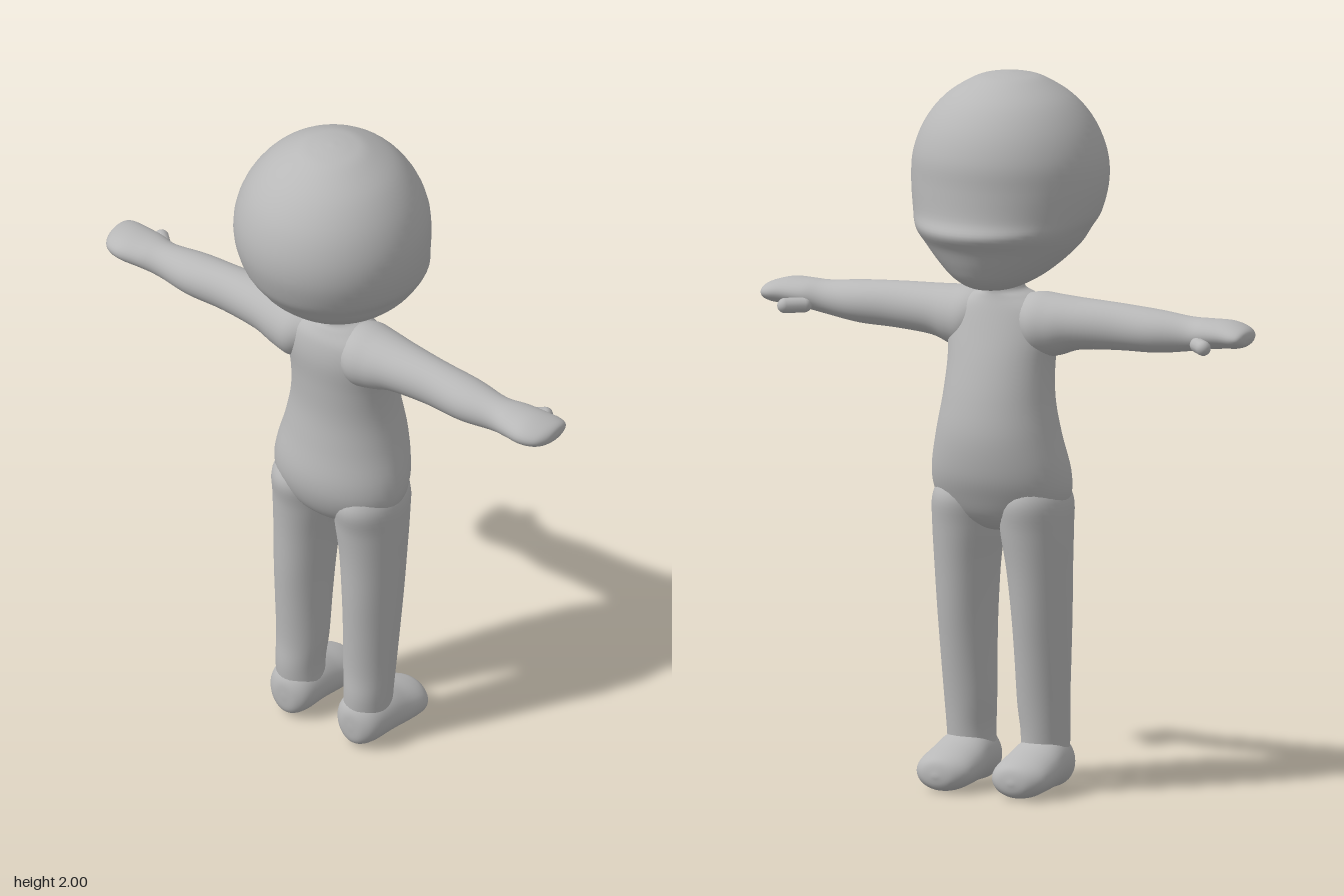
import * as THREE from 'three';
import { mergeVertices } from 'three/addons/utils/BufferGeometryUtils.js';

// Maps (along, u, v) to xyz for a loft running along each axis
const AXES = {
  x: (t, u, v) => [t, v, u],
  y: (t, u, v) => [u, t, v],
  z: (t, u, v) => [v, u, t],
};

// Smooth skin over oval sections; each row is [along, uMin, uMax, vMin, vMax].
// side -1 mirrors the form across z.
function loft(axis, rows, side = 1, segments = 32, steps = 5) {
  const curve = new THREE.CubicInterpolant(rows.map((_, i) => i), rows.flat(), 5, new Float32Array(5));
  const count = (rows.length - 1) * steps;
  const pos = [], index = [];
  for (let i = 0; i <= count; i++) {
    const [t, u0, u1, v0, v1] = i === count ? rows[rows.length - 1] : curve.evaluate(i / steps);
    for (let j = 0; j < segments; j++) {
      const a = (j / segments) * Math.PI * 2;
      const p = AXES[axis](t, (u0 + u1) / 2 + (u1 - u0) / 2 * Math.cos(a), (v0 + v1) / 2 + (v1 - v0) / 2 * Math.sin(a));
      pos.push(p[0], p[1], p[2] * side);
      if (i === count) continue;
      const k = (j + 1) % segments;
      const q = [i * segments + j, (i + 1) * segments + j, (i + 1) * segments + k, i * segments + k];
      if (side < 0) q.reverse();
      index.push(q[0], q[1], q[2], q[0], q[2], q[3]);
    }
  }
  const geo = new THREE.BufferGeometry();
  geo.setAttribute('position', new THREE.Float32BufferAttribute(pos, 3));
  geo.setIndex(index);
  const merged = mergeVertices(geo, 1e-5);
  merged.computeVertexNormals();
  return merged;
}

export function createModel() {
  const model = new THREE.Group();
  model.name = 'figure';
  const grey = new THREE.MeshStandardMaterial({ color: 0xb8b8b8 });
  grey.name = 'clay grey';

  const add = (name, geometry, z = 0) => {
    const mesh = new THREE.Mesh(geometry, grey);
    mesh.name = name;
    mesh.position.z = z;
    model.add(mesh);
  };

  // Round head with a flattened face, a low muzzle and a tucked chin
  add('head', loft('y', [
    [1.405, 0.08, 0.08, 0, 0],
    [1.413, 0.01, 0.15, -0.06, 0.06],
    [1.44, -0.075, 0.195, -0.115, 0.115],
    [1.48, -0.145, 0.222, -0.165, 0.165],
    [1.53, -0.203, 0.247, -0.212, 0.212],
    [1.575, -0.238, 0.277, -0.24, 0.24],
    [1.62, -0.263, 0.26, -0.261, 0.261],
    [1.70, -0.283, 0.254, -0.274, 0.274],
    [1.78, -0.278, 0.25, -0.268, 0.268],
    [1.86, -0.247, 0.222, -0.236, 0.236],
    [1.93, -0.189, 0.169, -0.18, 0.18],
    [1.98, -0.112, 0.092, -0.103, 0.103],
    [1.995, -0.06, 0.04, -0.05, 0.05],
    [2.0, -0.01, -0.01, 0, 0],
  ], 1, 48), 0.01);

  // Neck, chest, waist and hips
  add('torso', loft('y', [
    [0.725, 0.02, 0.02, 0, 0],
    [0.735, -0.04, 0.08, -0.07, 0.07],
    [0.77, -0.085, 0.13, -0.16, 0.16],
    [0.83, -0.113, 0.163, -0.2, 0.2],
    [0.9, -0.119, 0.188, -0.203, 0.203],
    [1.0, -0.1, 0.197, -0.181, 0.181],
    [1.1, -0.086, 0.182, -0.162, 0.162],
    [1.2, -0.086, 0.155, -0.157, 0.157],
    [1.29, -0.09, 0.125, -0.166, 0.166],
    [1.35, -0.08, 0.105, -0.15, 0.15],
    [1.385, -0.06, 0.093, -0.095, 0.095],
    [1.405, -0.047, 0.09, -0.055, 0.055],
    [1.45, -0.05, 0.09, -0.05, 0.05],
  ], 1, 40), 0.01);

  for (const [label, side] of [['right', 1], ['left', -1]]) {
    // Leg tapering from thigh to ankle
    add(label + 'Leg', loft('y', [
      [0.06, -0.07, 0.06, 0.045, 0.18],
      [0.16, -0.078, 0.068, 0.05, 0.184],
      [0.25, -0.072, 0.078, 0.043, 0.188],
      [0.38, -0.076, 0.096, 0.041, 0.193],
      [0.5, -0.081, 0.113, 0.037, 0.197],
      [0.63, -0.083, 0.128, 0.026, 0.201],
      [0.74, -0.09, 0.142, 0.01, 0.204],
      [0.82, -0.1, 0.15, 0.01, 0.2],
      [0.88, -0.07, 0.12, 0.04, 0.17],
    ], side), 0.01);

    // Rounded foot pointing forward
    add(label + 'Foot', loft('x', [
      [-0.086, 0.115, 0.115, 0.075, 0.075],
      [-0.08, 0.075, 0.155, 0.025, 0.125],
      [-0.05, 0.047, 0.185, 0.01, 0.155],
      [0.02, 0.036, 0.2, 0.01, 0.16],
      [0.09, 0.031, 0.206, 0.006, 0.133],
      [0.15, 0.036, 0.202, 0.004, 0.11],
      [0.185, 0.068, 0.17, 0.016, 0.09],
      [0.196, 0.12, 0.12, 0.05, 0.05],
    ], side), 0.01);

    // Outstretched arm ending in a mitten hand
    add(label + 'Arm', loft('z', [
      [0.04, 1.28, 1.385, -0.05, 0.07],
      [0.1, 1.22, 1.398, -0.082, 0.105],
      [0.16, 1.225, 1.395, -0.078, 0.1],
      [0.23, 1.247, 1.391, -0.067, 0.085],
      [0.35, 1.256, 1.386, -0.058, 0.07],
      [0.47, 1.259, 1.378, -0.062, 0.068],
      [0.57, 1.272, 1.368, -0.052, 0.053],
      [0.63, 1.283, 1.368, -0.063, 0.064],
      [0.69, 1.29, 1.367, -0.073, 0.068],
      [0.735, 1.296, 1.357, -0.058, 0.073],
      [0.758, 1.308, 1.345, -0.025, 0.06],
      [0.764, 1.327, 1.327, 0.015, 0.015],
    ], side));

    // Thumb angled forward and outward
    const thumb = new THREE.CapsuleGeometry(0.021, 0.055, 6, 14);
    thumb.rotateX(side * Math.PI / 2);
    thumb.rotateY(side * 0.75);
    thumb.translate(0.075, 1.302, side * 0.642);
    add(label + 'Thumb', thumb);
  }

  return model;
}
